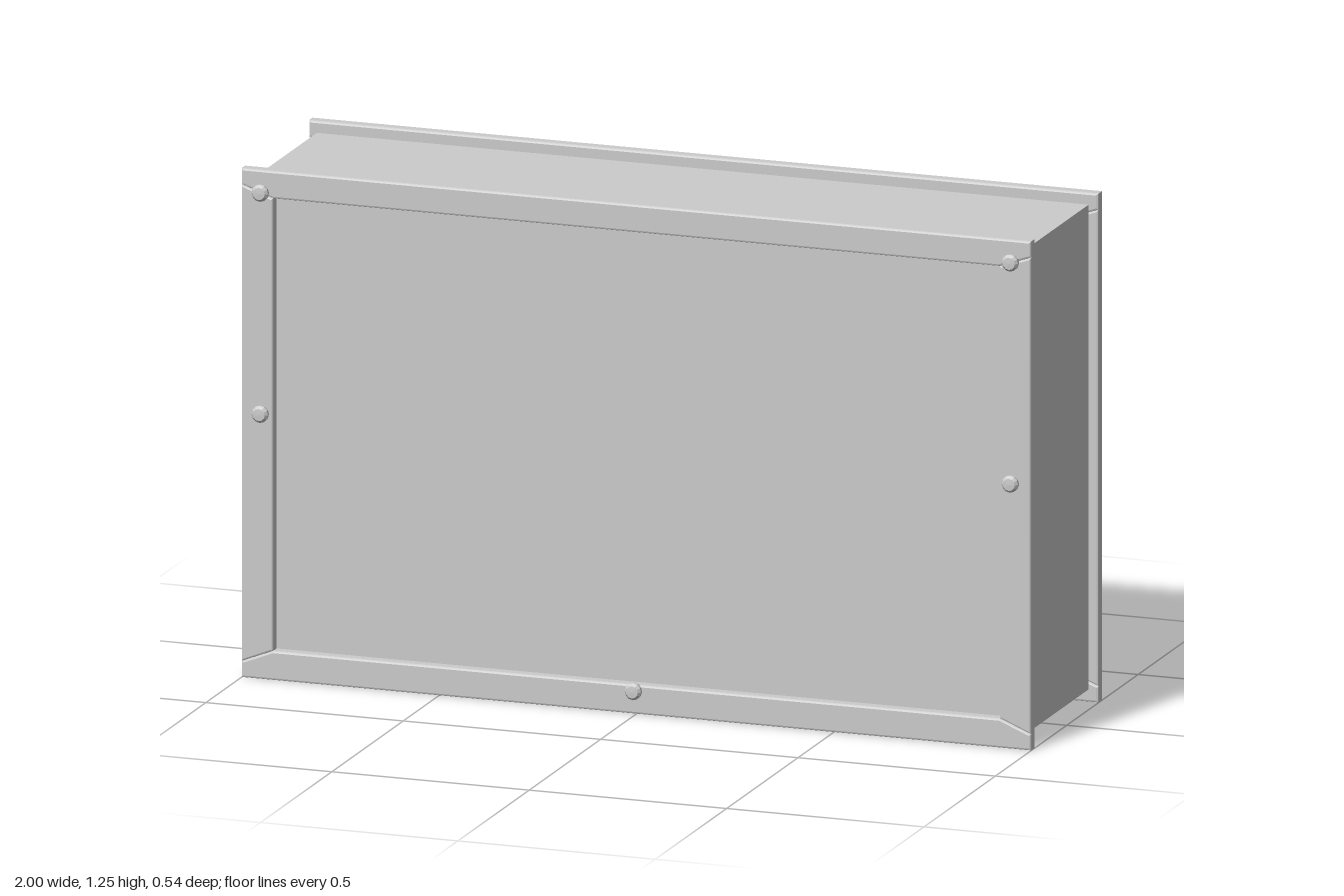
import * as THREE from 'three';

const material = new THREE.MeshStandardMaterial({ color: 0xcccccc, flatShading: true });

function add(parent, name, geometry, x = 0, y = 0, z = 0) {
  const mesh = new THREE.Mesh(geometry, material);
  mesh.name = name;
  mesh.position.set(x, y, z);
  parent.add(mesh);
  return mesh;
}

// Bar cut from an outline, with softened edges that stay inside the outline
function bar(points) {
  const shape = new THREE.Shape(points.map(([x, y]) => new THREE.Vector2(x, y)));
  const bevel = 0.005;
  const geometry = new THREE.ExtrudeGeometry(shape, {
    depth: 0.032 - 2 * bevel, bevelEnabled: true, bevelSize: bevel,
    bevelThickness: bevel, bevelOffset: -bevel, bevelSegments: 2,
  });
  return geometry.translate(0, 0, bevel);
}

// Bolt with a chamfered round head pointing along +z
function bolt() {
  const profile = [[0, -0.004], [0.02, -0.004], [0.021, 0.009], [0.015, 0.016], [0, 0.017]];
  return new THREE.LatheGeometry(profile.map(([r, h]) => new THREE.Vector2(r, h)), 12)
    .rotateX(Math.PI / 2);
}

// Mitred frame with its bolts, facing +z
function makeFrame(name, boltPositions) {
  const frame = new THREE.Group();
  frame.name = name;
  const z = 0.22;
  add(frame, 'bottomRail', bar([[-1, 0], [1, 0], [1, 0.04], [0.92, 0.072], [-0.92, 0.072], [-1, 0.04]]), 0, 0, z);
  add(frame, 'topRail', bar([[-1, 1.215], [-0.92, 1.187], [0.92, 1.187], [1, 1.215], [1, 1.255], [-1, 1.255]]), 0, 0, z);
  add(frame, 'leftStile', bar([[0.92, 0.072], [1, 0.04], [1, 1.215], [0.92, 1.187]]), 0, 0, z);
  add(frame, 'rightStile', bar([[-1, 0.04], [-0.92, 0.072], [-0.92, 1.187], [-1, 1.215]]), 0, 0, z);
  for (const [x, y] of boltPositions) add(frame, 'bolt', bolt(), x, y, z + 0.032);
  return frame;
}

export function createModel() {
  const model = new THREE.Group();
  model.name = 'framedBox';

  // Main box between the frames
  add(model, 'body', new THREE.BoxGeometry(1.955, 1.195, 0.435), 0, 0.63, 0.0025);

  // Recessed panels filling the frame openings
  for (const side of [1, -1]) {
    add(model, side > 0 ? 'frontPanel' : 'backPanel',
      new THREE.BoxGeometry(1.85, 1.125, 0.012), 0, 0.63, side * 0.219);
  }

  const shared = [[-0.95, 0.655], [0.95, 0.655], [-0.005, 0.057]];
  model.add(makeFrame('frontFrame', [...shared, [-0.95, 1.2], [0.95, 1.2]]));
  const back = makeFrame('backFrame', [...shared, [0.95, 1.2]]);
  back.rotation.y = Math.PI;
  model.add(back);

  return model;
}
